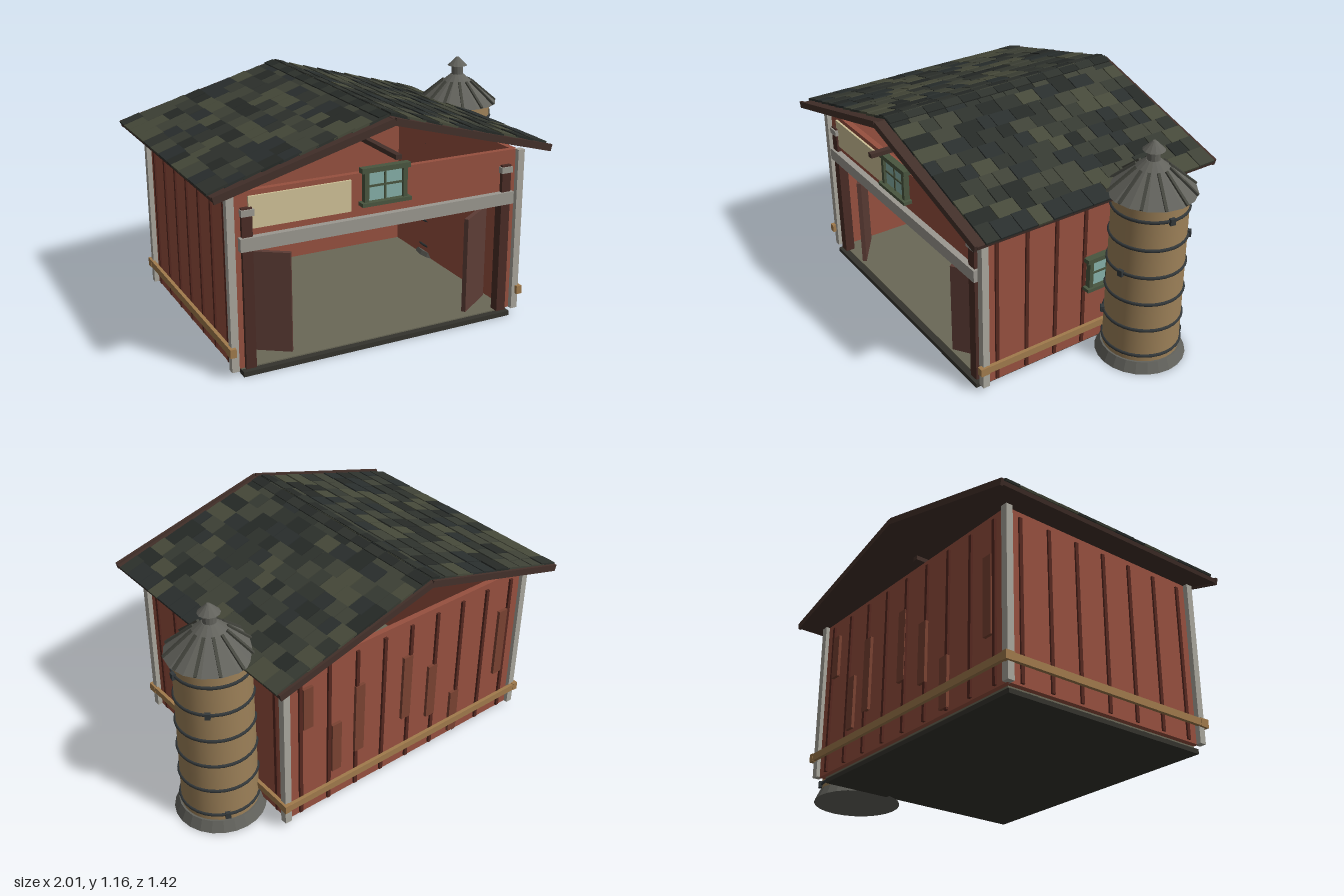
import * as THREE from 'three';
import { mergeGeometries } from 'three/addons/utils/BufferGeometryUtils.js';

const mat = (color, extra = {}) => new THREE.MeshStandardMaterial({ color, ...extra });
const M = {
  red: mat(0x96503f), batten: mat(0x55281f), patch: mat(0x7a4232), post: mat(0xa9a69c),
  beam: mat(0x9b9890), jamb: mat(0x4a2c26), door: mat(0x5c3c35), slab: mat(0x34332d),
  floor: mat(0x6a6857), rail: mat(0xa07a4c), wood: mat(0x43302a), cream: mat(0xcfc197),
  frame: mat(0x49553f), glass: mat(0x86b0a8), iron: mat(0x33383a),
  tan: mat(0x9c8058), tin: mat(0x62625c, { flatShading: true }), tinDark: mat(0x45463f), bulb: mat(0xfff0c0),
  lamp: mat(0x6a5040, { side: THREE.DoubleSide }),
};
const SHINGLES = [0x262a27, 0x2e322d, 0x363a32, 0x3f4237, 0x2a2f2e, 0x474a3a].map(c => mat(c));

let seed = 7;
const rnd = () => (seed = (seed * 16807) % 2147483647) / 2147483647;

function add(parent, name, geo, material, x = 0, y = 0, z = 0) {
  const m = new THREE.Mesh(geo, material);
  m.name = name;
  m.position.set(x, y, z);
  parent.add(m);
  return m;
}
const box = (p, name, material, w, h, d, x, y, z) =>
  add(p, name, new THREE.BoxGeometry(w, h, d), material, x, y, z);
const group = (p, name) => {
  const g = new THREE.Group();
  g.name = name;
  p.add(g);
  return g;
};

// Window facing +z: frame, lintel, sill, glass and crossed bars
function makeWindow(parent, name) {
  const g = group(parent, name);
  box(g, 'glass', M.glass, 0.18, 0.14, 0.012, 0, 0, 0);
  for (const s of [-1, 1]) box(g, 'frameSide', M.frame, 0.022, 0.16, 0.03, s * 0.1, 0, 0.005);
  box(g, 'lintel', M.frame, 0.25, 0.024, 0.036, 0, 0.079, 0.006);
  box(g, 'sill', M.frame, 0.255, 0.018, 0.045, 0, -0.081, 0.01);
  box(g, 'barUpright', M.frame, 0.01, 0.14, 0.018, 0, 0, 0.002);
  box(g, 'barCross', M.frame, 0.18, 0.01, 0.018, 0, 0, 0.002);
  return g;
}

function buildWalls(barn) {
  const g = group(barn, 'walls');
  box(g, 'foundation', M.slab, 1.44, 0.024, 1.15, 0, 0.012, 0.028);
  box(g, 'floor', M.floor, 1.44, 0.008, 1.12, 0, 0.026, 0.01);
  box(g, 'backWall', M.red, 1.49, 0.84, 0.03, 0, 0.45, -0.56);
  box(g, 'frontUpperWall', M.red, 1.49, 0.25, 0.03, 0, 0.745, 0.555);
  for (const s of [-1, 1]) {
    box(g, 'sideWall', M.red, 0.03, 0.84, 1.13, s * 0.733, 0.45, 0);
    box(g, 'frontPier', M.red, 0.06, 0.84, 0.03, s * 0.717, 0.45, 0.555);
    box(g, 'doorJamb', M.jamb, 0.05, 0.77, 0.05, s * 0.677, 0.415, 0.565);
    box(g, 'jambBracket', M.beam, 0.062, 0.03, 0.06, s * 0.675, 0.777, 0.568);
    // Battens along each side
    for (let i = 0; i < 7; i++)
      box(g, 'sideBatten', M.batten, 0.014, 0.8, 0.018, s * 0.75, 0.44, 0.503 - i * 0.167);
    for (const e of [-1, 1]) box(g, 'cornerPost', M.post, 0.036, 0.84, 0.036, s * 0.755, 0.45, e * 0.577);
    // Low rail with end blocks
    box(g, 'sideRail', M.rail, 0.018, 0.036, 1.2, s * 0.774, 0.133, 0);
    for (const e of [-1, 1]) box(g, 'railBlock', M.rail, 0.03, 0.042, 0.05, s * 0.77, 0.133, e * 0.588);
    // Ajar door
    const d = box(g, 'door', M.door, 0.235, 0.49, 0.022, s * 0.562, 0.305, 0.505);
    d.rotation.y = s * 0.6;
  }
  box(g, 'backRail', M.rail, 1.54, 0.036, 0.018, 0, 0.133, -0.603);
  for (let i = 0; i < 9; i++)
    box(g, 'backBatten', M.batten, 0.018, 0.8, 0.014, -0.67 + i * 0.1675, 0.44, -0.58);
  // Repair boards on the back: x, bottom, top
  for (const [x, a, b] of [[0.63, 0.54, 0.77], [0.46, 0.2, 0.48], [0.32, 0.25, 0.64],
    [0.02, 0.3, 0.67], [-0.15, 0.23, 0.54], [-0.32, 0.05, 0.3], [-0.63, 0.28, 0.67]])
    box(g, 'repairBoard', M.patch, 0.055, b - a, 0.018, x, (a + b) / 2, -0.582);
  // Front header beam and sign board
  box(g, 'headerBeam', M.beam, 1.43, 0.062, 0.05, 0, 0.633, 0.577);
  box(g, 'signBoard', M.cream, 0.5, 0.15, 0.012, -0.415, 0.772, 0.575);
  makeWindow(g, 'frontWindow').position.set(0, 0.81, 0.588);
  const side = makeWindow(g, 'sideWindow');
  side.position.set(0.768, 0.447, -0.118);
  side.rotation.y = Math.PI / 2;
  // Hanging lamp
  const lamp = group(g, 'lamp');
  lamp.position.z = 0.35;
  add(lamp, 'lampStem', new THREE.CylinderGeometry(0.004, 0.004, 0.1, 6), M.iron, 0, 0.6, 0);
  add(lamp, 'lampShade', new THREE.CylinderGeometry(0.012, 0.055, 0.04, 12, 1, true), M.lamp, 0, 0.54, 0);
  add(lamp, 'lampBulb', new THREE.SphereGeometry(0.02, 10, 8), M.bulb, 0, 0.52, 0);
}

function buildRoof(barn) {
  const g = group(barn, 'roof');
  const slope = Math.atan(0.235 / 0.865), len = 0.893, rows = 10, step = len / rows;
  for (const s of [-1, 1]) {
    const half = group(g, s > 0 ? 'leftSlope' : 'rightSlope');
    half.position.y = 1.125;
    half.rotation.z = -s * slope;
    box(half, 'roofDeck', M.wood, len, 0.02, 1.36, s * len / 2, -0.003, -0.008);
    for (const z of [0.681, -0.69]) box(half, 'rakeBoard', M.wood, len, 0.034, 0.014, s * len / 2, -0.002, z);
    // Overlapping shingle courses, gathered by colour
    const bins = SHINGLES.map(() => []);
    for (let r = 0; r < rows; r++) {
      let z = -0.68;
      while (z < 0.6) {
        let w = 0.07 + rnd() * 0.06;
        if (z + w > 0.57) w = 0.635 - z;
        const l = step * (1.12 + rnd() * 0.12);
        const geo = new THREE.BoxGeometry(l, 0.011, w - 0.004);
        geo.rotateZ(-s * 0.05 * -1 * -1);
        geo.translate(s * (Math.min((r + 0.55) * step, len - l / 2 + 0.006)), 0.014 + rnd() * 0.003, z + w / 2);
        bins[Math.floor(rnd() * SHINGLES.length)].push(geo);
        z += w;
      }
    }
    bins.forEach((b, i) => b.length && add(half, 'shingles', mergeGeometries(b), SHINGLES[i]));
    // Ridge caps
    for (let i = 0; i < 13; i++)
      box(half, 'ridgeCap', SHINGLES[i % 2], 0.05, 0.01, 0.098, s * 0.025, 0.022, -0.63 + i * 0.101);
  }
  box(g, 'ridgeBeam', M.wood, 0.03, 0.022, 1.26, 0, 0.97, 0.09);
}

function buildSilo(root) {
  const g = group(root, 'silo');
  g.position.set(0.775, 0, -0.258);
  add(g, 'siloBase', new THREE.CylinderGeometry(0.2, 0.225, 0.055, 24), M.tin, 0, 0.0275, 0);
  add(g, 'siloBody', new THREE.CylinderGeometry(0.181, 0.19, 0.85, 32), M.tan, 0, 0.475, 0);
  // Hoops, each with a clamp at its own angle
  [-67, 123, 200, 78, -48, 9].forEach((deg, i) => {
    const y = 0.088 + i * 0.1495, r = 0.191 - y * 0.0106, a = THREE.MathUtils.degToRad(deg);
    add(g, 'hoop', new THREE.TorusGeometry(r, 0.009, 6, 32), M.iron, 0, y, 0).rotation.x = Math.PI / 2;
    const c = box(g, 'hoopClamp', M.iron, 0.026, 0.032, 0.026, Math.cos(a) * (r + 0.004), y, Math.sin(a) * (r + 0.004));
    c.rotation.y = -a;
  });
  // Conical cap with radial ribs
  add(g, 'siloRoof', new THREE.CylinderGeometry(0.035, 0.218, 0.155, 16), M.tin, 0, 0.987, 0);
  const pitch = Math.atan(0.155 / 0.183);
  for (let i = 0; i < 12; i++) {
    const arm = group(g, 'roofRibArm');
    arm.rotation.y = (i / 12) * Math.PI * 2 + 0.13;
    box(arm, 'roofRib', M.tinDark, 0.18, 0.012, 0.014, 0.148, 0.972, 0).rotation.z = -pitch;
  }
  // Vent
  add(g, 'ventNeck', new THREE.CylinderGeometry(0.032, 0.032, 0.06, 12), M.tin, 0, 1.085, 0);
  add(g, 'ventCap', new THREE.CylinderGeometry(0.008, 0.054, 0.045, 12), M.tin, 0, 1.135, 0);
  // Chute passing under the eave into the barn
  const chute = add(g, 'feedChute', new THREE.CylinderGeometry(0.03, 0.03, 0.29, 12), M.tin, -0.295, 0.898, 0);
  chute.rotation.z = Math.atan2(0.21, 0.105);
}

export function createModel() {
  const root = new THREE.Group();
  root.name = 'barnWithSilo';
  const barn = group(root, 'barn');
  barn.position.set(-0.135, 0, -0.0125);
  buildWalls(barn);
  buildRoof(barn);
  buildSilo(root);
  return root;
}
